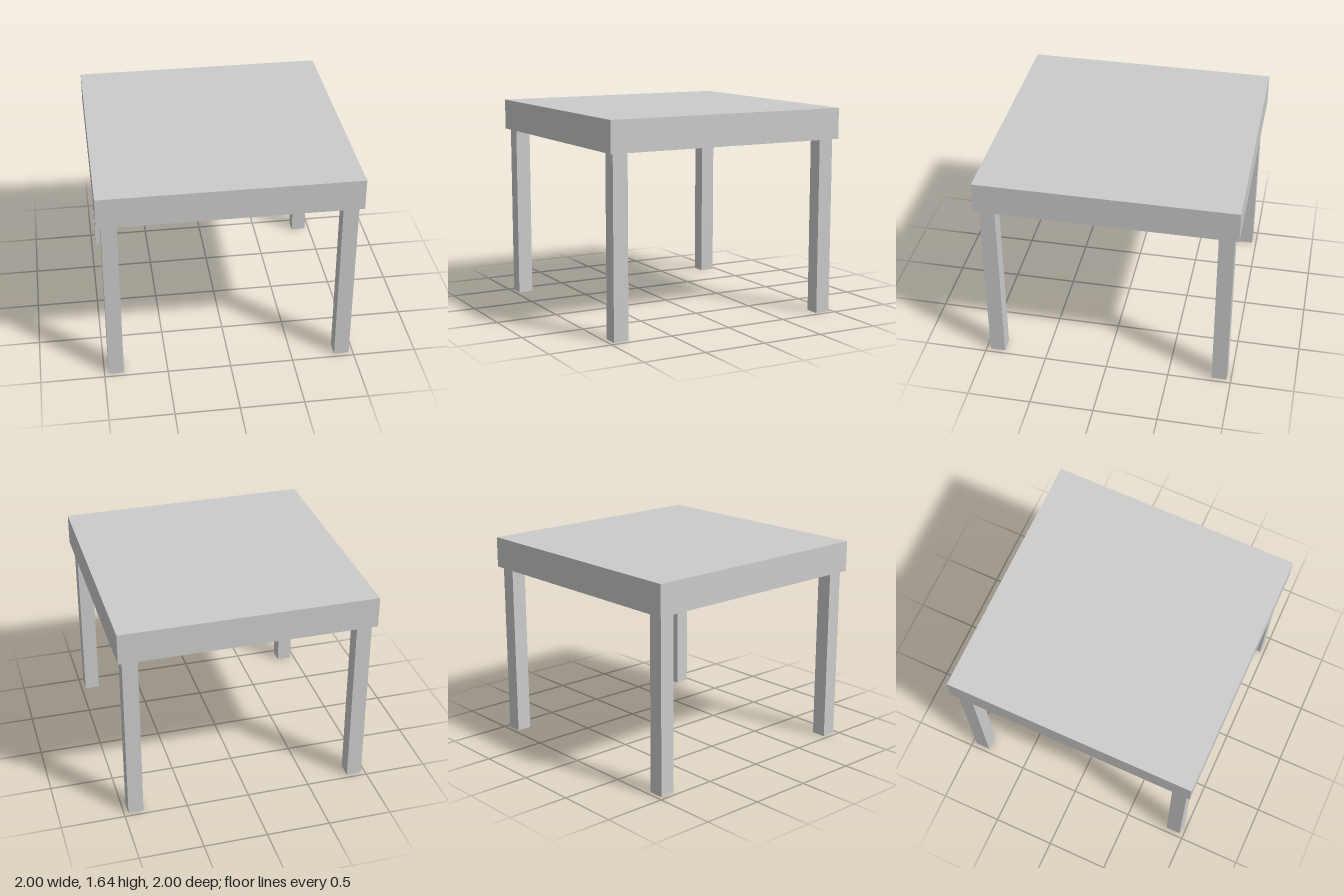
import * as THREE from 'three';

const material = new THREE.MeshStandardMaterial({ color: 0xcccccc });

// Adds a box whose underside sits at the given height
function addBox(group, name, width, height, depth, x, bottom, z) {
  const mesh = new THREE.Mesh(new THREE.BoxGeometry(width, height, depth), material);
  mesh.name = name;
  mesh.position.set(x, bottom + height / 2, z);
  group.add(mesh);
}

export function createModel() {
  const table = new THREE.Group();
  table.name = 'table';

  const legHeight = 1.4;
  const legWidth = 0.12;
  const legOffset = 0.906;

  // Thick square top
  addBox(table, 'tableTop', 2, 0.245, 2, 0, legHeight, 0);

  // Four square legs, set slightly in from the corners
  for (const [end, sz] of [['front', 1], ['back', -1]]) {
    for (const [side, sx] of [['Left', 1], ['Right', -1]]) {
      addBox(table, `${end}${side}Leg`, legWidth, legHeight, legWidth, sx * legOffset, 0, sz * legOffset);
    }
  }

  return table;
}
